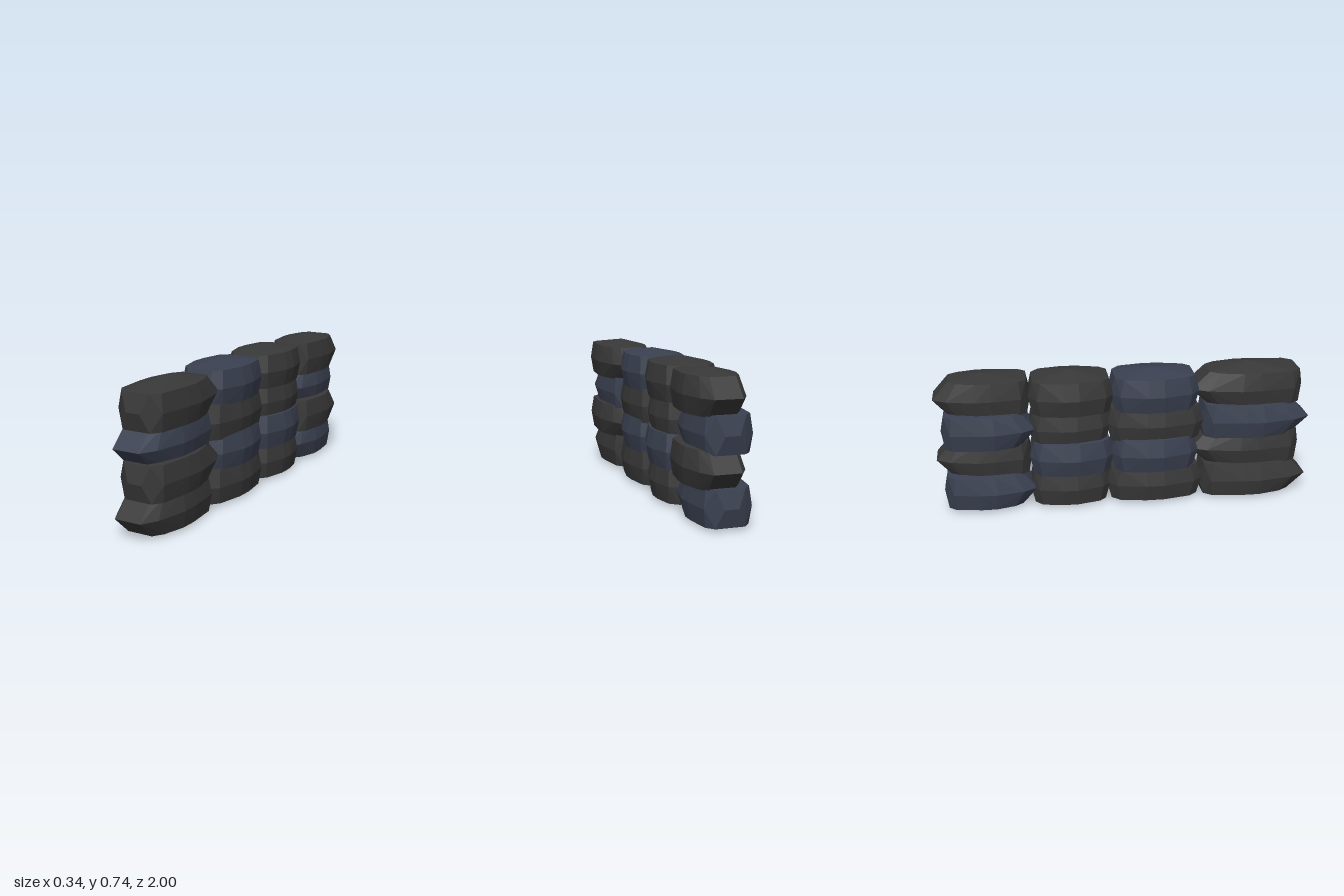
import * as THREE from 'three';
import { ConvexGeometry } from 'three/addons/geometries/ConvexGeometry.js';

const DARK = 0x383838, BLUE = 0x3a4050;

// Half outlines: [fraction of length, fraction of half width]
const WEDGED = {
  mid: [[0, 0.48], [0.14, 0.78], [0.43, 1], [0.6, 0.98], [0.9, 0.82], [1, 0.25]],
  cap: [[0.16, 0.45], [0.25, 0.68], [0.45, 0.87], [0.6, 0.87], [0.88, 0.74], [0.96, 0.5]],
};
const BLUNT = {
  mid: [[0, 0.4], [0.1, 0.75], [0.42, 1], [0.6, 1], [0.9, 0.8], [1, 0.35]],
  cap: [[0.06, 0.45], [0.14, 0.68], [0.42, 0.88], [0.6, 0.88], [0.86, 0.74], [0.95, 0.45]],
};

// Faceted stone: wide middle ring, narrower rings above and below, shallow peaks
function stone({ mid, cap }, x0, x1, z0, z1, y, peak) {
  const cx = (x0 + x1) / 2, half = (x1 - x0) / 2;
  const points = [];
  const ring = (outline, h) => {
    for (const [t, w] of outline) {
      for (const s of [-1, 1]) {
        points.push(new THREE.Vector3(cx + s * w * half, y + h, z0 + (z1 - z0) * t));
      }
    }
  };
  ring(mid, 0);
  ring(cap, 0.092);
  ring(cap, -0.09);
  const cz = z0 + (z1 - z0) * 0.5;
  points.push(new THREE.Vector3(cx, y + peak, cz), new THREE.Vector3(cx, y - 0.105, cz));
  return new ConvexGeometry(points);
}

// Two alternating courses; each entry: outline, x range, z start to z end, peak height
const COURSES = [
  [
    [WEDGED, -0.155, 0.15, 1, 0.405, 0.11],
    [BLUNT, -0.15, 0.15, 0.425, -0.1, 0.11],
    [BLUNT, -0.15, 0.15, -0.08, -0.51, 0.11],
    [WEDGED, -0.155, 0.135, -0.475, -0.968, 0.11],
  ],
  [
    [WEDGED, -0.135, 0.17, 0.355, 0.965, 0.127],
    [BLUNT, -0.17, 0.158, 0.395, -0.08, 0.122],
    [BLUNT, -0.17, 0.165, -0.06, -0.51, 0.127],
    [WEDGED, -0.12, 0.166, -1, -0.495, 0.118],
  ],
];

// Rows from the ground up: height of the middle ring and stone colours
const ROWS = [
  [0.106, [DARK, DARK, DARK, BLUE]],
  [0.28, [DARK, BLUE, BLUE, DARK]],
  [0.445, [BLUE, DARK, DARK, BLUE]],
  [0.618, [DARK, BLUE, DARK, DARK]],
];

export function createModel() {
  const wall = new THREE.Group();
  wall.name = 'stoneWall';
  const materials = new Map([DARK, BLUE].map((color) =>
    [color, new THREE.MeshStandardMaterial({ color, flatShading: true })]));

  ROWS.forEach(([y, colors], r) => {
    const row = new THREE.Group();
    row.name = `stoneRow${r + 1}`;
    COURSES[r % 2].forEach(([outline, x0, x1, z0, z1, peak], i) => {
      const mesh = new THREE.Mesh(stone(outline, x0, x1, z0, z1, y, peak), materials.get(colors[i]));
      mesh.name = `stone${r + 1}_${i + 1}`;
      row.add(mesh);
    });
    wall.add(row);
  });
  return wall;
}
